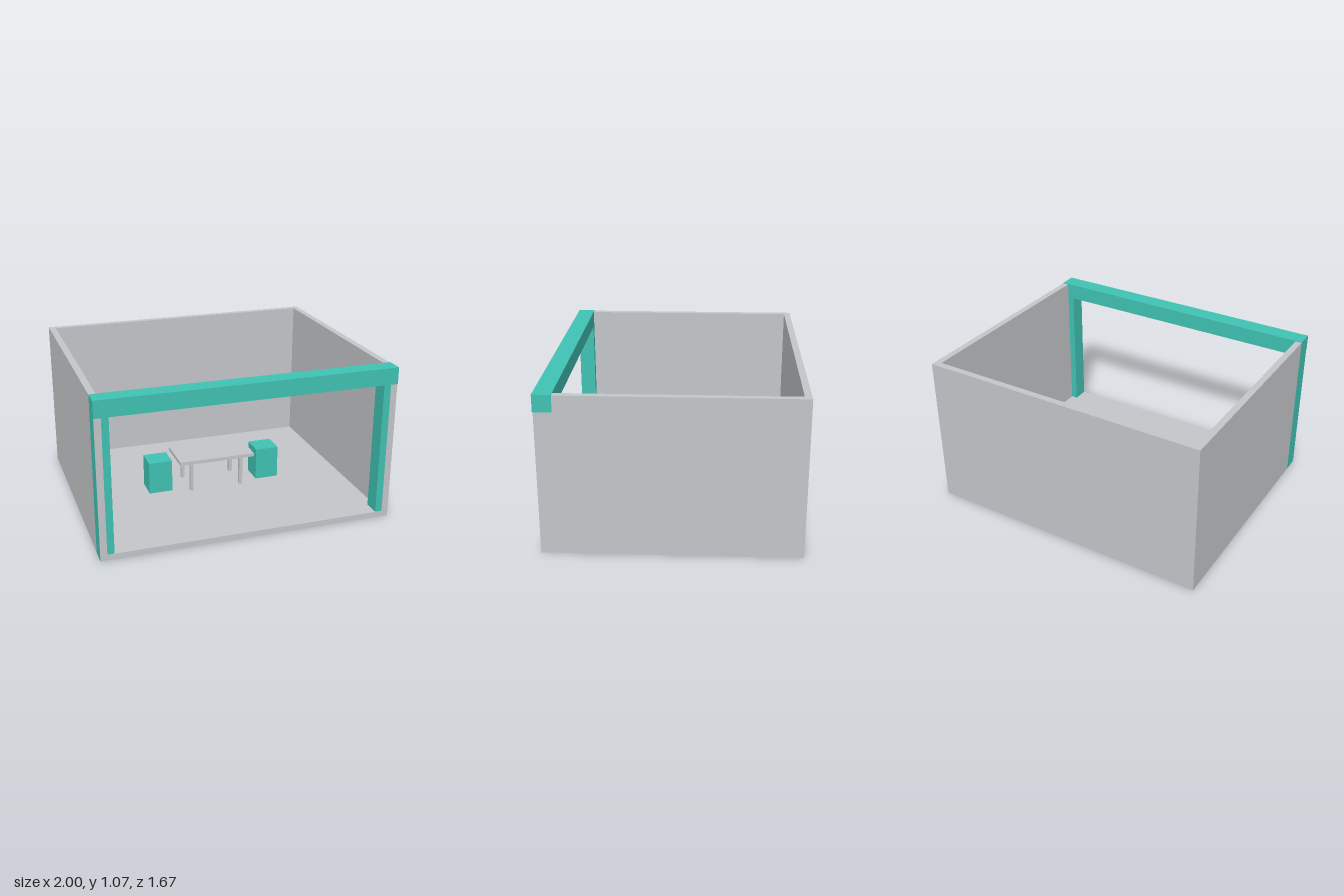
import * as THREE from 'three';

const grey = new THREE.MeshStandardMaterial({ color: 0xc3c6c9 });
grey.name = 'pale grey';
const teal = new THREE.MeshStandardMaterial({ color: 0x40c2b3 });
teal.name = 'teal';

// Box given by its lower and upper limits on each axis
function block(name, material, [x0, x1], [y0, y1], [z0, z1]) {
  const mesh = new THREE.Mesh(new THREE.BoxGeometry(x1 - x0, y1 - y0, z1 - z0), material);
  mesh.position.set((x0 + x1) / 2, (y0 + y1) / 2, (z0 + z1) / 2);
  mesh.name = name;
  return mesh;
}

export function createModel() {
  const model = new THREE.Group();
  model.name = 'openRoom';
  const back = -0.837, front = 0.833, top = 1.066, wall = 0.045, floorTop = 0.04;

  // Floor and three walls
  model.add(
    block('floor', grey, [-1 + wall, 1 - wall], [0, floorTop], [back + wall, front]),
    block('backWall', grey, [-1, 1], [0, top], [back, back + wall]),
    block('rightWall', grey, [-1, -1 + wall], [0, top], [back + wall, front]),
    block('leftWall', grey, [1 - wall, 1], [0, top], [back + wall, front])
  );

  // Front frame: posts wrapped around the wall ends, beam across the top
  model.add(
    block('rightPost', teal, [-1.001, -0.908], [0.001, 1.0], [0.717, 0.831]),
    block('leftPost', teal, [0.908, 0.999], [0.001, 1.0], [0.717, 0.831]),
    block('frontBeam', teal, [-1.001, 1.001], [0.957, 1.07], [0.717, 0.837])
  );

  // Table in the middle of the room
  const table = new THREE.Group();
  table.name = 'table';
  table.position.z = -0.003;
  table.add(block('tableTop', grey, [-0.276, 0.276], [0.254, 0.278], [-0.149, 0.149]));
  for (const sx of [-1, 1]) {
    for (const sz of [-1, 1]) {
      const x = sx * 0.185, z = sz * 0.115;
      table.add(block('tableLeg', grey, [x - 0.012, x + 0.012], [floorTop, 0.254], [z - 0.012, z + 0.012]));
    }
  }
  model.add(table);

  // Block seats at both ends of the table
  for (const [name, x] of [['rightSeat', -0.403], ['leftSeat', 0.403]]) {
    model.add(block(name, teal, [x - 0.084, x + 0.084], [floorTop, 0.271], [-0.085, 0.079]));
  }

  return model;
}
